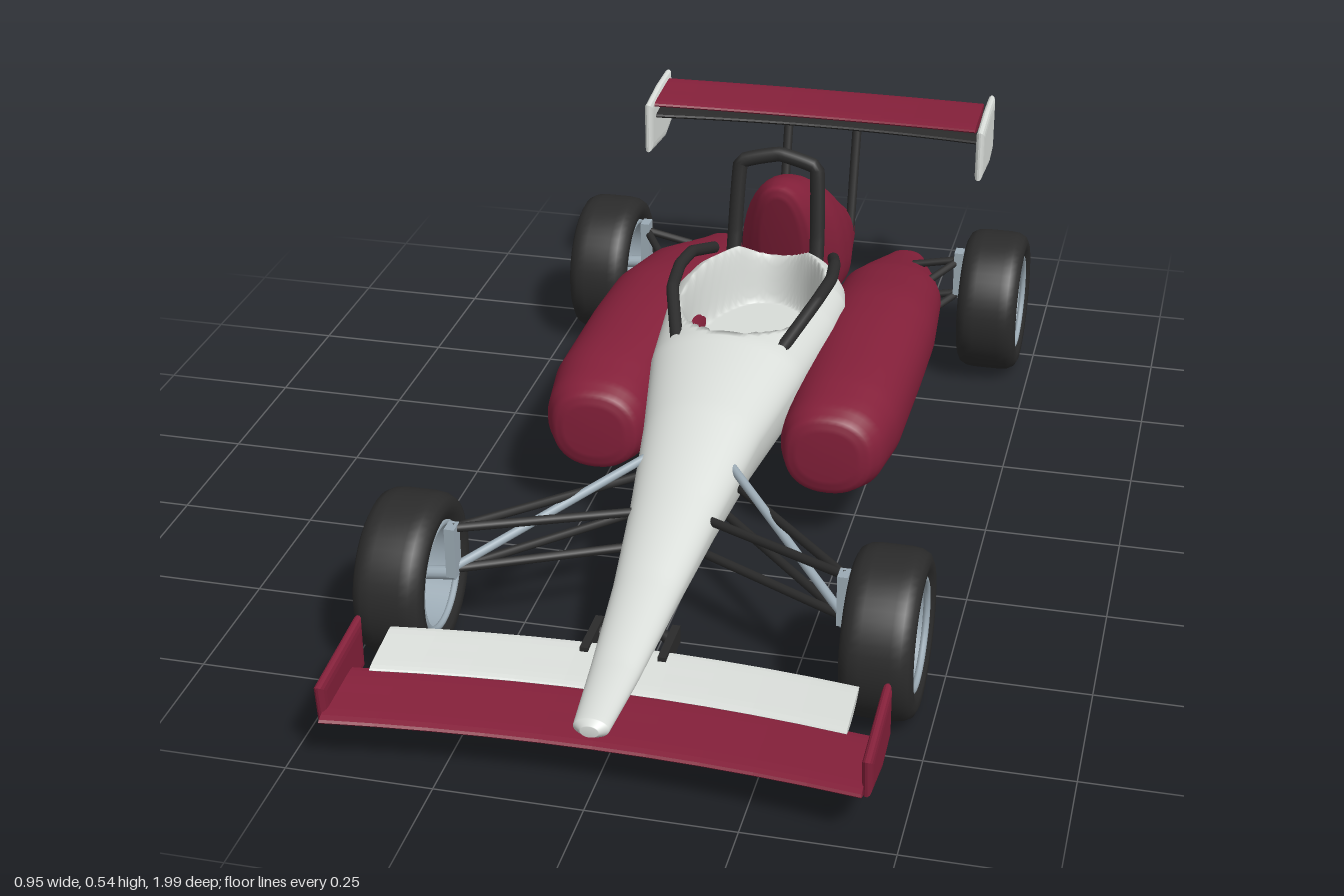
import * as THREE from 'three';

const mat = (name, color, side = THREE.FrontSide) => {
  const m = new THREE.MeshStandardMaterial({ color, side });
  m.name = name;
  return m;
};

export function createModel() {
  const car = new THREE.Group();
  car.name = 'racingCar';
  const red = mat('crimson', 0x84203a);
  const white = mat('offWhite', 0xd9ddd9);
  const black = mat('black', 0x2b2b2b);
  const grey = mat('steelGrey', 0x9cabb5, THREE.DoubleSide);
  const V = (x, y, z) => new THREE.Vector3(x, y, z);

  const add = (name, geo, material, parent = car) => {
    const m = new THREE.Mesh(geo, material);
    m.name = name;
    parent.add(m);
    return m;
  };

  // Lofted body. Station: [z, centreX, halfWidth, bottom, top, widest height 0..1, backward lean]
  function loft(stations, { around = 40, sub = 3, power = 1, rule } = {}) {
    const rings = [];
    for (let i = 0; i < stations.length - 1; i++)
      for (let k = 0; k < sub; k++)
        rings.push(stations[i].map((v, j) => v + (stations[i + 1][j] - v) * k / sub));
    rings.push(stations[stations.length - 1]);
    const pos = [], idx = [], n = around;
    const pw = (v) => Math.sign(v) * Math.abs(v) ** power;
    for (const [z, cx, w, yb, yt, f, lean] of rings) {
      const ym = yb + (yt - yb) * f;
      for (let i = 0; i < n; i++) {
        const a = i / n * Math.PI * 2, s = pw(Math.sin(a));
        const x = cx + w * pw(Math.cos(a));
        const y = ym + s * (s > 0 ? yt - ym : ym - yb);
        const p = V(x, y, z + lean * (y - yt));
        if (rule && s > 0) rule(p);
        pos.push(p.x, p.y, p.z);
      }
    }
    const R = rings.length;
    for (let r = 0; r < R - 1; r++)
      for (let i = 0; i < n; i++) {
        const a = r * n + i, b = r * n + (i + 1) % n;
        idx.push(a, a + n, b, b, a + n, b + n);
      }
    // end caps
    [[rings[0], 0], [rings[R - 1], (R - 1) * n]].forEach(([s, base], end) => {
      const c = pos.length / 3, y = (s[3] + s[4]) / 2;
      pos.push(s[1], y, s[0] + s[6] * (y - s[4]));
      for (let i = 0; i < n; i++) {
        const a = base + i, b = base + (i + 1) % n;
        end ? idx.push(c, b, a) : idx.push(c, a, b);
      }
    });
    const g = new THREE.BufferGeometry();
    g.setAttribute('position', new THREE.Float32BufferAttribute(pos, 3));
    g.setIndex(idx);
    g.computeVertexNormals();
    return g;
  }

  // Nose and tub, with the cockpit pressed into the top
  const tub = [
    [0.958, 0.015, 0.11, 0.13, 0.5], [0.945, 0.03, 0.102, 0.138, 0.5], [0.8, 0.042, 0.1, 0.155, 0.55],
    [0.6, 0.058, 0.105, 0.195, 0.6], [0.4, 0.08, 0.108, 0.25, 0.65], [0.2, 0.108, 0.11, 0.31, 0.67],
    [0, 0.145, 0.11, 0.353, 0.68], [-0.2, 0.167, 0.11, 0.361, 0.68], [-0.3, 0.17, 0.11, 0.365, 0.68],
    [-0.36, 0.158, 0.11, 0.365, 0.68], [-0.42, 0.133, 0.11, 0.355, 0.68], [-0.48, 0.1, 0.115, 0.28, 0.68],
    [-0.51, 0.07, 0.13, 0.23, 0.6],
  ].map(([z, w, b, t, f]) => [z, 0, w, b, t, f, 0]);
  add('noseAndTub', loft(tub, {
    around: 112, sub: 12,
    rule: (p) => {
      const r = Math.hypot(p.x / 0.134, (p.z + 0.235) / 0.215);
      p.y += (Math.min(p.y, 0.222) - p.y) * (1 - THREE.MathUtils.smoothstep(r, 0.88, 1));
    },
  }), white);

  // Engine cover and tail
  add('engineCover', loft([
    [-0.455, 0, 0.04, 0.22, 0.435, 0.4, 0.3], [-0.458, 0, 0.066, 0.16, 0.46, 0.4, 0.3],
    [-0.52, 0, 0.09, 0.12, 0.456, 0.4, 0.22], [-0.6, 0, 0.108, 0.11, 0.432, 0.4, 0.1],
    [-0.7, 0, 0.11, 0.108, 0.378, 0.4, 0], [-0.82, 0, 0.092, 0.108, 0.305, 0.42, 0],
    [-0.94, 0, 0.075, 0.108, 0.235, 0.45, 0], [-0.985, 0, 0.06, 0.112, 0.205, 0.5, 0],
    [-0.993, 0, 0.035, 0.13, 0.185, 0.5, 0],
  ], { power: 0.92 }), red);

  // Straight rod between two points
  const rod = (name, a, b, r, material = black) => {
    const m = add(name, new THREE.CylinderGeometry(r, r, a.distanceTo(b), 12), material);
    m.position.lerpVectors(a, b, 0.5);
    m.quaternion.setFromUnitVectors(V(0, 1, 0), b.clone().sub(a).normalize());
  };
  // Bent tube through points
  const bent = (name, pts, r) => add(name, new THREE.TubeGeometry(
    new THREE.CatmullRomCurve3(pts, false, 'catmullrom', 0.12), 48, r, 12), black);

  bent('rollHoop', [V(-0.085, 0.3, -0.43), V(-0.084, 0.37, -0.445), V(-0.077, 0.507, -0.465), V(0, 0.527, -0.472),
    V(0.077, 0.507, -0.465), V(0.084, 0.37, -0.445), V(0.085, 0.3, -0.43)], 0.015);

  // Wings: airfoil section swept across the span, bowed in the middle
  function wing(name, half, front, back, thick, bowZ, bowY, material) {
    const pts = [], n = 10;
    for (let i = 0; i < 2 * n; i++) {
      const a = i / n * Math.PI, t = (1 - Math.cos(a)) / 2;
      const y = front[1] + (back[1] - front[1]) * t - 0.25 * thick * Math.sin(Math.PI * t) - Math.sin(a) * thick / 2;
      pts.push(new THREE.Vector2(-(front[0] + (back[0] - front[0]) * t), y));
    }
    const g = new THREE.ExtrudeGeometry(new THREE.Shape(pts), { depth: 2 * half, steps: 10, bevelEnabled: false });
    g.rotateY(Math.PI / 2).translate(-half, 0, 0);
    const p = g.attributes.position;
    for (let i = 0; i < p.count; i++) {
      const k = 1 - (p.getX(i) / half) ** 2;
      p.setY(i, p.getY(i) + bowY * k);
      p.setZ(i, p.getZ(i) + bowZ * k);
    }
    g.computeVertexNormals();
    add(name, g, material);
  }
  wing('frontWingMain', 0.44, [0.992, 0.092], [0.845, 0.102], 0.024, -0.045, -0.012, red);
  wing('frontWingFlap', 0.395, [0.875, 0.122], [0.765, 0.138], 0.016, -0.04, -0.008, white);
  wing('rearWingUpper', 0.345, [-0.812, 0.472], [-0.95, 0.482], 0.022, -0.032, -0.01, red);
  wing('rearWingLower', 0.35, [-0.835, 0.438], [-0.97, 0.442], 0.022, -0.028, -0.003, black);

  // Thin lens-edged end plate from a [z, y] outline
  const plate = (name, x, outline, material) => {
    const shape = new THREE.Shape(outline.map(([z, y]) => new THREE.Vector2(-z, y)));
    const g = new THREE.ExtrudeGeometry(shape, {
      depth: 0.004, bevelThickness: 0.007, bevelSize: 0.018, bevelOffset: -0.018, bevelSegments: 3,
    });
    add(name, g.rotateY(Math.PI / 2).translate(x - 0.002, 0, 0), material);
  };

  // Tyre cross-section, from inner bead around the tread
  const tyre = [[0.095, -0.05], [0.108, -0.06], [0.124, -0.061], [0.136, -0.055], [0.143, -0.042], [0.145, -0.025],
    [0.145, 0.025], [0.143, 0.042], [0.136, 0.055], [0.124, 0.061], [0.108, 0.06], [0.095, 0.05]]
    .map(([r, y]) => new THREE.Vector2(r, y));

  function wheel(name, s, z) {
    const w = new THREE.Group();
    w.name = name;
    add('tyre', new THREE.LatheGeometry(tyre, 48), black, w);
    add('rimBarrel', new THREE.CylinderGeometry(0.094, 0.094, 0.1, 40, 1, true), grey, w);
    for (const y of [-0.05, 0.05])
      add('rimLip', new THREE.TorusGeometry(0.093, 0.006, 8, 40).rotateX(Math.PI / 2).translate(0, y, 0), grey, w);
    add('hub', new THREE.CylinderGeometry(0.018, 0.024, 0.06, 20).translate(0, 0.012, 0), grey, w);
    for (let i = 0; i < 9; i++)
      add('spoke', new THREE.BoxGeometry(0.08, 0.012, 0.011).translate(0.055, 0.03, 0)
        .rotateY(i / 9 * Math.PI * 2), grey, w);
    w.rotation.z = -s * Math.PI / 2;
    w.position.set(s * 0.414, 0.145, z);
    car.add(w);
  }

  for (const s of [1, -1]) {
    const side = s > 0 ? 'left' : 'right';
    const P = (x, y, z) => V(s * x, y, z);

    // Side pod
    add(side + 'SidePod', loft([
      [0.146, 0.22, 0.055, 0.15, 0.25], [0.138, 0.22, 0.08, 0.122, 0.272], [0.1, 0.223, 0.097, 0.11, 0.288],
      [0, 0.228, 0.107, 0.105, 0.301], [-0.25, 0.222, 0.115, 0.1, 0.301], [-0.4, 0.222, 0.113, 0.097, 0.292],
      [-0.6, 0.213, 0.104, 0.096, 0.25], [-0.72, 0.207, 0.08, 0.098, 0.21], [-0.82, 0.203, 0.052, 0.102, 0.178],
      [-0.865, 0.203, 0.04, 0.108, 0.165], [-0.876, 0.203, 0.02, 0.122, 0.15],
    ].map(([z, x, w, b, t]) => [z, s * x, w, b, t, 0.5, 0]), { power: 0.88 }), red);

    // Cockpit rail
    bent(side + 'CockpitRail', [P(0.1, 0.325, -0.02), P(0.14, 0.367, -0.15), P(0.15, 0.37, -0.25),
      P(0.143, 0.368, -0.32), P(0.122, 0.335, -0.42)], 0.012);

    wheel(side + 'FrontWheel', s, 0.605);
    wheel(side + 'RearWheel', s, -0.705);

    // Front suspension
    for (const z of [0.42, 0.29]) {
      const x = z > 0.4 ? 0.065 : 0.085;
      rod(side + 'FrontUpperArm', P(0.338, 0.24, 0.6), P(x, 0.205, z), 0.008);
      rod(side + 'FrontLowerArm', P(0.338, 0.16, 0.6), P(x - 0.015, 0.14, z), 0.008);
    }
    rod(side + 'FrontPushRod', P(0.335, 0.165, 0.6), P(0.075, 0.245, 0.29), 0.008, grey);

    // Rear suspension
    for (const y of [0.225, 0.15])
      for (const [x, z] of [[0.24, -0.71], [0.27, -0.6]])
        rod(side + 'RearArm', P(0.338, y, -0.71), P(x, y - 0.02, z), 0.008);

    // Uprights and stub axles
    for (const z of [0.605, -0.705]) {
      add(side + 'Upright', new THREE.BoxGeometry(0.018, 0.095, 0.03).translate(s * 0.338, 0.2, z), grey);
      rod(side + 'Axle', P(0.335, 0.155, z), P(0.42, 0.145, z), 0.012, grey);
    }

    // Wing mounts and end plates
    add(side + 'FrontWingMount', new THREE.BoxGeometry(0.014, 0.032, 0.1).translate(s * 0.066, 0.122, 0.705), black);
    rod(side + 'FrontWingMountPin', P(0.066, 0.12, 0.68), P(0.03, 0.13, 0.66), 0.01);
    rod(side + 'RearWingStrut', P(0.075, 0.18, -0.868), P(0.075, 0.44, -0.94), 0.01);
    plate(side + 'FrontEndPlate', s * 0.444,
      [[0.978, 0.148], [0.785, 0.165], [0.785, 0.068], [0.865, 0.055], [0.97, 0.078]], red);
    plate(side + 'RearEndPlate', s * 0.357,
      [[-0.8, 0.475], [-0.9, 0.488], [-0.985, 0.49], [-0.985, 0.372], [-0.93, 0.355], [-0.8, 0.368]].reverse(), white);
  }
  return car;
}
